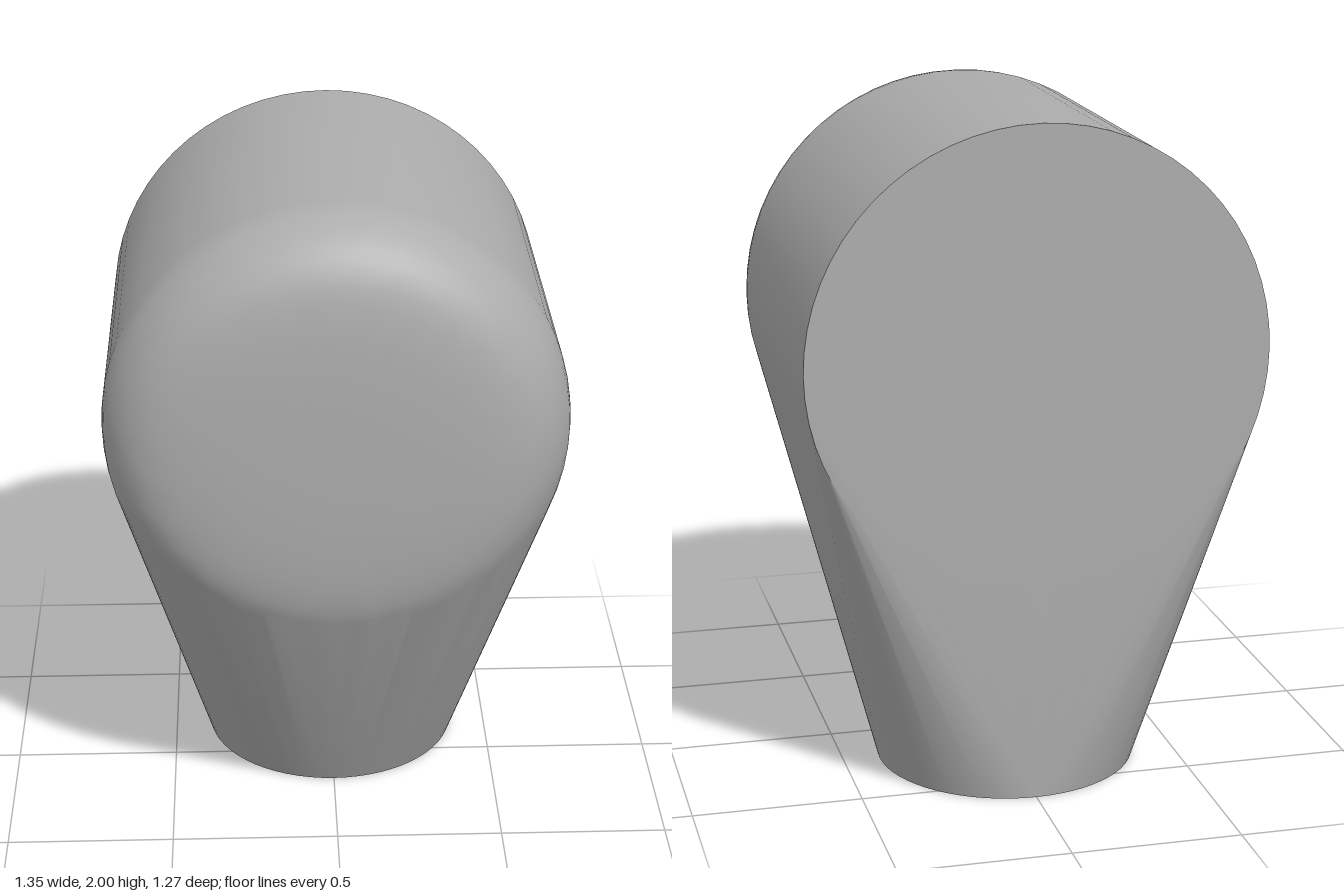
import * as THREE from 'three';
import { ConvexGeometry } from 'three/addons/geometries/ConvexGeometry.js';
import { toCreasedNormals } from 'three/addons/utils/BufferGeometryUtils.js';

const SEGMENTS = 64;

// Points of a circle, passed to place(cos, sin)
function ring(place) {
  return Array.from({ length: SEGMENTS }, (_, i) => {
    const a = (i / SEGMENTS) * Math.PI * 2;
    return place(Math.cos(a), Math.sin(a));
  });
}

export function createModel() {
  const group = new THREE.Group();
  const grey = new THREE.MeshStandardMaterial({ color: 0xacacac });
  grey.name = 'plain grey';

  // Softly domed front of the horizontal barrel, as (radius, z)
  const dome = new THREE.SplineCurve([
    [0.673, 0.37], [0.665, 0.43], [0.64, 0.49], [0.6, 0.545], [0.54, 0.588],
    [0.46, 0.612], [0.35, 0.626], [0.2, 0.633], [0.05, 0.635],
  ].map(([r, z]) => new THREE.Vector2(r, z))).getPoints(16);

  // Barrel: flat back ring, then the dome rings
  const centreY = 1.327;
  const points = [new THREE.Vector2(0.673, -0.635), ...dome].flatMap((p) =>
    ring((c, s) => new THREE.Vector3(p.x * c, centreY + p.x * s, p.y)));

  // Round foot, set towards the back
  points.push(...ring((c, s) => new THREE.Vector3(0.39 * c, 0, -0.22 + 0.39 * s)));

  // Skin stretched over barrel and foot
  const body = new THREE.Mesh(toCreasedNormals(new ConvexGeometry(points), 0.4), grey);
  body.name = 'body';
  group.add(body);
  return group;
}
